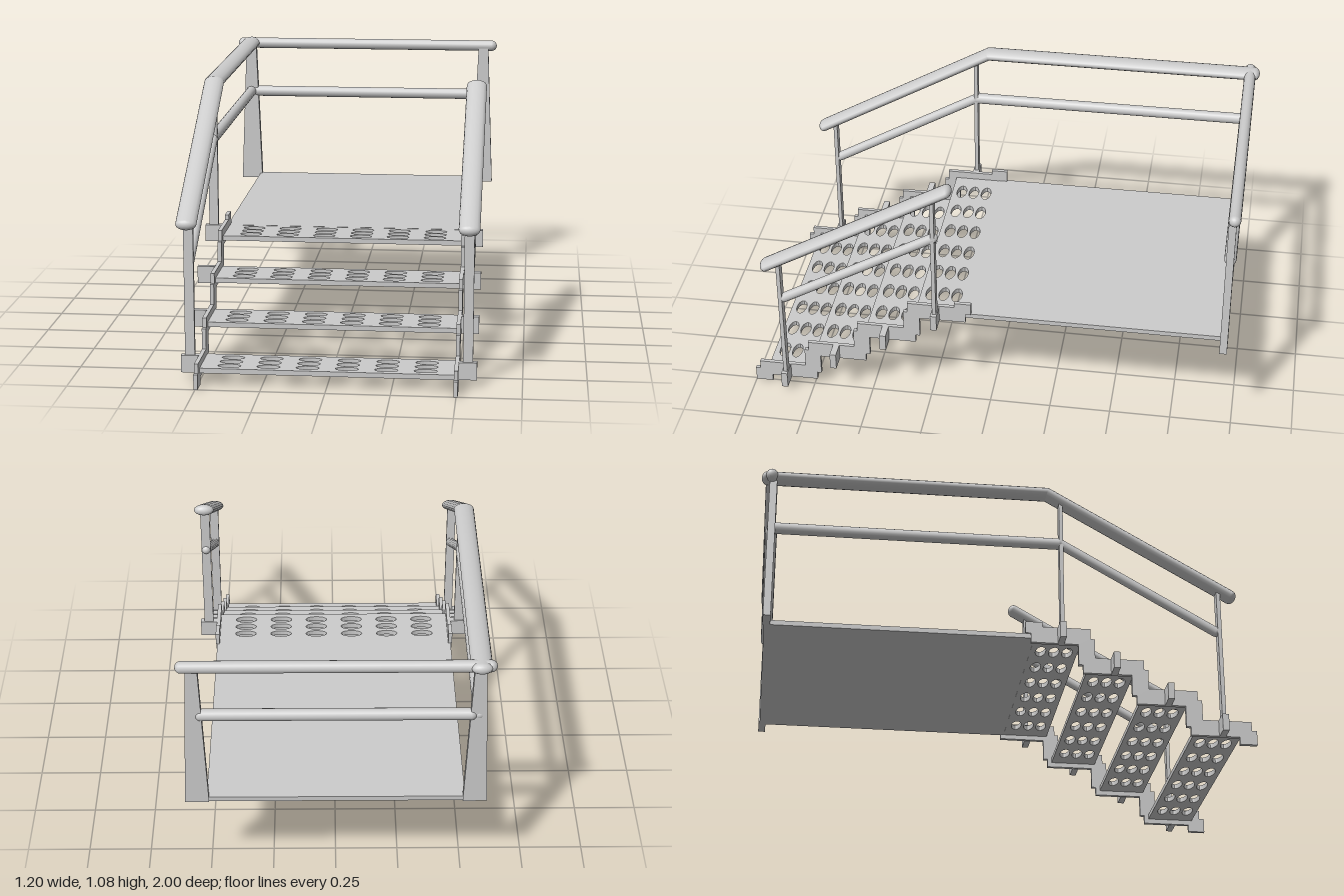
import * as THREE from 'three';

const material = new THREE.MeshStandardMaterial({ color: 0xcccccc });
const RISE = 0.123, RUN = 0.213, RAIL_X = 0.54;

export function createModel() {
  const model = new THREE.Group();

  function add(name, geometry, x = 0, y = 0, z = 0) {
    const mesh = new THREE.Mesh(geometry, material);
    mesh.name = name;
    mesh.position.set(x, y, z);
    model.add(mesh);
    return mesh;
  }
  const box = (name, w, h, d, x, y, z) => add(name, new THREE.BoxGeometry(w, h, d), x, y, z);

  // Round-ended bar between two points, optionally widened along x
  function rail(name, a, b, radius, widen = 1) {
    const start = new THREE.Vector3(...a), end = new THREE.Vector3(...b);
    const dir = end.clone().sub(start);
    const mesh = add(name, new THREE.CapsuleGeometry(radius, dir.length(), 4, 16));
    mesh.position.copy(start).add(end).multiplyScalar(0.5);
    mesh.quaternion.setFromUnitVectors(new THREE.Vector3(0, 1, 0), dir.normalize());
    mesh.scale.x = widen;
    return mesh;
  }

  // Landing
  box('platform', 1, 0.02, 1.075, 0, 0.43, -0.4225);

  // Treads with rows of oval slots
  const treadShape = new THREE.Shape([[-0.495, -0.096], [0.495, -0.096], [0.495, 0.096], [-0.495, 0.096]]
    .map(p => new THREE.Vector2(...p)));
  for (let col = 0; col < 6; col++) {
    for (let row = -1; row <= 1; row++) {
      const slot = new THREE.Path();
      slot.absellipse((col - 2.5) * 0.152, row * 0.054, 0.045, 0.021, 0, Math.PI * 2, true);
      treadShape.holes.push(slot);
    }
  }
  const treadGeometry = new THREE.ExtrudeGeometry(treadShape, { depth: 0.02, bevelEnabled: false, curveSegments: 10 });
  treadGeometry.rotateX(-Math.PI / 2);
  for (let i = 0; i < 4; i++) {
    add('tread', treadGeometry, 0, 0.05 + i * RISE, 0.849 - i * RUN);
  }

  // Zigzag stringer outline in (z, y)
  const upper = [[1, 0], [1, 0.06], [0.98, 0.06]], lower = [[0.93, 0], [0.93, 0.03]];
  for (let i = 0; i < 3; i++) {
    const z = -i * RUN, y = i * RISE;
    upper.push([0.98 + z, 0.097 + y], [0.784 + z, 0.097 + y], [0.784 + z, 0.18 + y], [0.767 + z, 0.18 + y]);
    lower.push([0.735 + z, 0.03 + y], [0.735 + z, 0.065 + y], [0.717 + z, 0.065 + y], [0.717 + z, 0.153 + y]);
  }
  upper.push([0.341, 0.47], [0.147, 0.47], [0.147, 0.49], [0.078, 0.49]);
  lower.push([0.1, 0.4], [0.1, 0.44], [0.078, 0.44]);
  const outline = [...upper, ...lower.reverse()].map(([z, y]) => new THREE.Vector2(-z, y));
  const stringerGeometry = new THREE.ExtrudeGeometry(new THREE.Shape(outline), { depth: 0.016, bevelEnabled: false });
  stringerGeometry.rotateY(Math.PI / 2).translate(-0.008, 0, 0);

  // Tapered rear post
  const postShape = new THREE.Shape([[-0.047, 0], [0.047, 0], [0.022, 0.635], [-0.022, 0.635]]
    .map(p => new THREE.Vector2(...p)));
  const postGeometry = new THREE.ExtrudeGeometry(postShape, { depth: 0.03, bevelEnabled: false });

  for (const side of [-1, 1]) {
    const x = side * RAIL_X;
    add('stringer', stringerGeometry, side * 0.498, 0, 0);
    add('rearPost', postGeometry, side * 0.538, 0.42, -0.965);

    // Outward mounting tabs, one per step
    for (let i = 0; i < 4; i++) {
      box('mountingTab', 0.072, 0.069, 0.026, side * 0.539, 0.063 + i * RISE, 0.86 - i * RUN);
    }

    // Stair posts and sloping rails
    box('lowerStairPost', 0.038, 0.59, 0.016, x, 0.345, 0.858);
    box('upperStairPost', 0.038, 0.61, 0.016, x, 0.715, 0.22);
    rail('stairHandrail', [x, 0.63, 0.91], [x, 1.057, 0.165], 0.023, 1.78);
    rail('stairMidRail', [x, 0.47, 0.845], [x, 0.83, 0.22], 0.02);
  }

  // Landing rails on the right side and across the back
  rail('sideHandrail', [-RAIL_X, 1.057, 0.165], [-RAIL_X, 1.057, -0.975], 0.023, 1.78);
  rail('sideMidRail', [-RAIL_X, 0.83, 0.21], [-RAIL_X, 0.83, -0.945], 0.023);
  rail('backHandrail', [-0.575, 1.055, -0.957], [0.575, 1.055, -0.957], 0.024);
  rail('backMidRail', [-0.51, 0.83, -0.95], [0.51, 0.83, -0.95], 0.024);

  return model;
}
